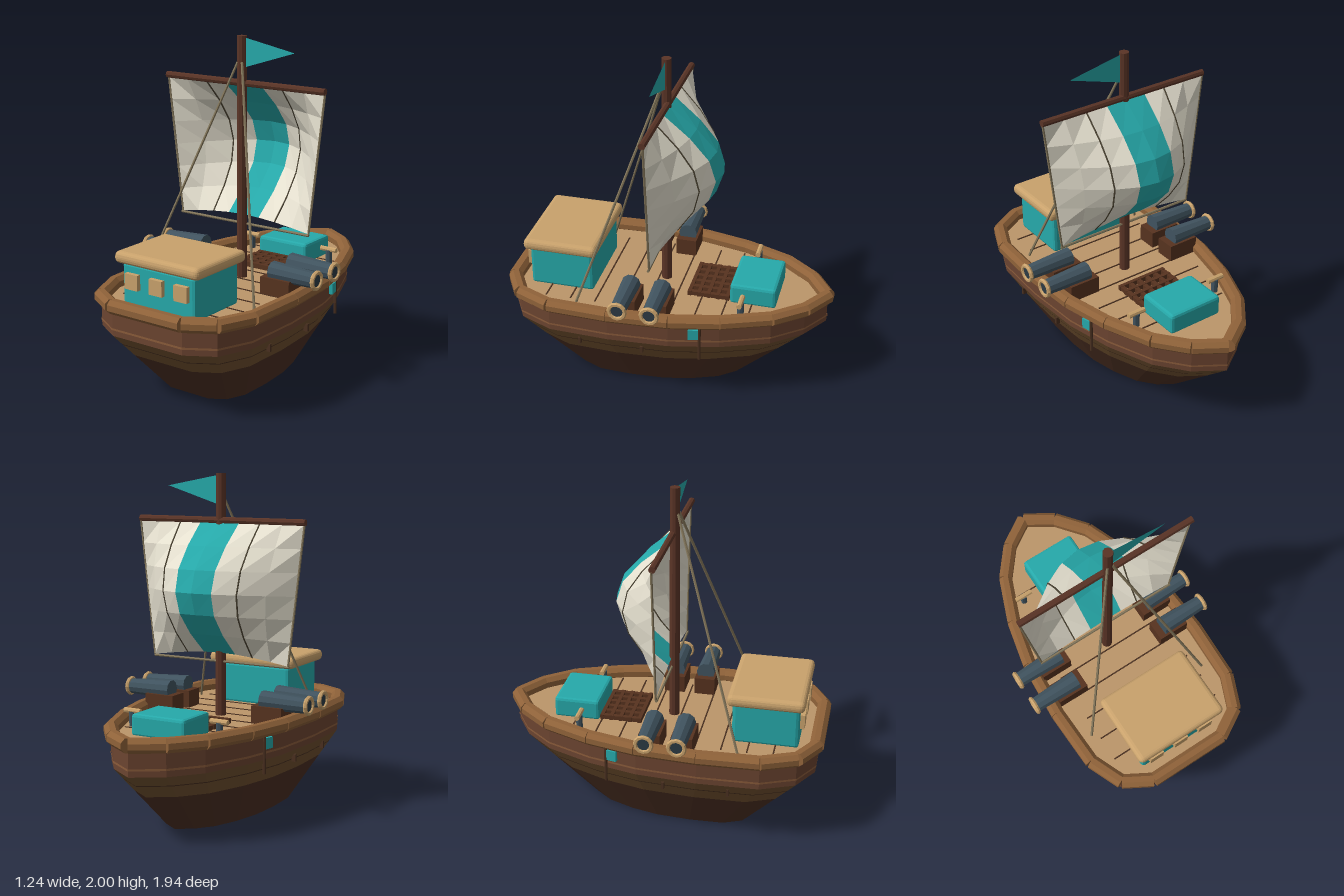
import * as THREE from 'three';
import { RoundedBoxGeometry } from 'three/addons/geometries/RoundedBoxGeometry.js';

const V = (x, y, z) => new THREE.Vector3(x, y, z);
const mat = (color) => new THREE.MeshStandardMaterial({ color, flatShading: true, side: THREE.DoubleSide });
const M = {
  upper: mat(0x6b4430), strake: mat(0x70502f), lower: mat(0x4b2f22), trim: mat(0x8a5b3a), rail: mat(0x8f6239),
  deck: mat(0xbc966a), seam: mat(0x4a3020), dark: mat(0x57331f), mast: mat(0x5a3426), teal: mat(0x26a9aa),
  tan: mat(0xc9a26c), cream: mat(0xe6e1d0), rope: mat(0x83765a), stitch: mat(0x4c4433), iron: mat(0x40535f), bore: mat(0x2c3a44),
};

// Hull outline: half from bow to stern, then mirrored
const half = [[0, -0.935], [0.17, -0.825], [0.31, -0.65], [0.42, -0.37], [0.485, -0.08],
  [0.508, 0.28], [0.495, 0.64], [0.41, 0.84], [0.245, 0.935]];
const outline = [...half, ...half.slice(1).reverse().map(([x, z]) => [-x, z])];
const ZC = 0.105;
const ring = (y, s) => outline.map(([x, z]) => V(x * s, y, ZC + (z - ZC) * s));
const hullScale = (y) => (y >= 0.41 ? 1 : 0.56 + 0.44 * y / 0.41);

function createParts(group) {
  const add = (name, geo, material, x = 0, y = 0, z = 0, parent = group) => {
    const m = new THREE.Mesh(geo, material);
    m.name = name;
    m.position.set(x, y, z);
    parent.add(m);
    return m;
  };
  const box = (name, w, h, d, material, x, y, z) => add(name, new THREE.BoxGeometry(w, h, d), material, x, y, z);
  // Bar between two points
  const rod = (name, a, b, r, material, sides = 6, r2 = r) => {
    const dir = b.clone().sub(a);
    const m = add(name, new THREE.CylinderGeometry(r2, r, dir.length(), sides), material);
    m.position.copy(a).add(b).multiplyScalar(0.5);
    m.quaternion.setFromUnitVectors(V(0, 1, 0), dir.normalize());
    return m;
  };
  return { add, box, rod };
}

// Flat-sided surface between rows of points
function loft(rows, closed) {
  const pos = [];
  for (let j = 0; j < rows.length - 1; j++) {
    const n = rows[j].length;
    for (let i = 0; i < (closed ? n : n - 1); i++) {
      const k = (i + 1) % n;
      const [a, b, c, d] = [rows[j][i], rows[j][k], rows[j + 1][k], rows[j + 1][i]];
      for (const p of [a, d, c, a, c, b]) pos.push(p.x, p.y, p.z);
    }
  }
  const g = new THREE.BufferGeometry();
  g.setAttribute('position', new THREE.Float32BufferAttribute(pos, 3));
  g.computeVertexNormals();
  return g;
}

export function createModel() {
  const group = new THREE.Group();
  group.name = 'sailingShip';
  const { add, box, rod } = createParts(group);

  // Hull bands
  const band = (name, y0, y1, material, grow = 1) =>
    add(name, loft([ring(y0, hullScale(y0) * grow), ring(y1, hullScale(y1) * grow)], true), material);
  band('lowerHull', 0, 0.26, M.lower);
  band('lowerStrake', 0.26, 0.34, M.strake);
  band('strakeSeam', 0.34, 0.347, M.seam);
  band('middleStrake', 0.347, 0.41, M.strake);
  band('upperHull', 0.41, 0.57, M.upper);
  band('hullTrim', 0.445, 0.457, M.trim, 1.005);

  // Bottom and deck
  const flat = (s, sign) => new THREE.ShapeGeometry(new THREE.Shape(
    ring(0, s).map((p) => new THREE.Vector2(p.x, sign * p.z)))).rotateX(sign * Math.PI / 2);
  add('hullBottom', flat(0.56, 1), M.lower);
  add('deck', flat(0.99, -1), M.deck, 0, 0.565, 0);
  for (let i = 0; i < 9; i++) {
    const z = -0.51 + i * 0.151;
    box('plankSeam', z < -0.45 ? 0.62 : 0.74, 0.006, 0.008, M.seam, 0, 0.566, z);
  }

  // Rail of straight eight-sided bars
  const railPath = ring(0.585, 1);
  railPath.forEach((p, i) => {
    const q = railPath[(i + 1) % railPath.length];
    const bar = rod('railSegment', p, q, 0.044, M.rail, 8);
    bar.quaternion.setFromRotationMatrix(new THREE.Matrix4().lookAt(q, p, V(0, 1, 0)))
      .multiply(new THREE.Quaternion().setFromEuler(new THREE.Euler(Math.PI / 2, 0, 0)))
      .multiply(new THREE.Quaternion().setFromAxisAngle(V(0, 1, 0), Math.PI / 8));
  });

  // Cabin with roof and stern windows
  add('cabin', new RoundedBoxGeometry(0.51, 0.26, 0.39, 1, 0.02), M.teal, 0, 0.685, 0.635);
  add('cabinRoof', new RoundedBoxGeometry(0.59, 0.07, 0.45, 2, 0.03), M.tan, 0, 0.84, 0.635);
  for (const x of [-0.172, 0, 0.172]) box('cabinWindow', 0.09, 0.09, 0.03, M.tan, x, 0.715, 0.842);

  // Bow hatch and grating
  add('bowHatch', new RoundedBoxGeometry(0.35, 0.13, 0.275, 1, 0.018), M.teal, 0, 0.62, -0.513);
  for (let i = 0; i < 6; i++) box('gratingBar', 0.026, 0.025, 0.25, M.dark, -0.15 + i * 0.06, 0.58, -0.245);
  for (let i = 0; i < 5; i++) box('gratingCrossbar', 0.33, 0.03, 0.022, M.dark, 0, 0.58, -0.36 + i * 0.0575);

  // Mast, yard and foot rope
  rod('mast', V(0, 0.55, 0.05), V(0, 2, 0.05), 0.032, M.mast, 10, 0.029);
  rod('yard', V(-0.555, 1.728, 0.04), V(0.555, 1.728, 0.04), 0.02, M.mast, 8);
  rod('sailFoot', V(-0.46, 0.893, 0.04), V(0.46, 0.893, 0.04), 0.008, M.rope);

  // Billowing sail, eight columns by six rows
  const xs = [-1, -0.745, -0.485, -0.235, 0, 0.235, 0.485, 0.745, 1];
  const sailPoint = (u, t) => {
    const c = Math.cos(u * Math.PI / 2);
    return V(u * (0.55 - 0.095 * t), 1.715 - t * (0.815 - 0.045 * c), 0.035 - 0.325 * c * Math.sin(t * Math.PI));
  };
  const rows = [0, 1, 2, 3, 4, 5, 6].map((j) => xs.map((u) => sailPoint(u, j / 6)));
  const panel = (name, a, b, material) => add(name, loft(rows.map((r) => r.slice(a, b + 1)), false), material);
  panel('sailRight', 0, 3, M.cream);
  panel('sailStripe', 3, 5, M.teal);
  panel('sailLeft', 5, 8, M.cream);
  for (const i of [0, 2, 6, 8]) {
    for (let j = 0; j < 6; j++) {
      rod(i % 8 ? 'sailSeam' : 'sailEdgeRope', rows[j][i], rows[j + 1][i], i % 8 ? 0.005 : 0.007, i % 8 ? M.stitch : M.rope, 5);
    }
  }

  // Pennant
  const tri = new THREE.Shape([[0.02, 1.99], [0.02, 1.82], [0.36, 1.926]].map((p) => new THREE.Vector2(...p)));
  add('pennant', new THREE.ShapeGeometry(tri), M.teal, 0, 0, 0.05);

  // Parts repeated on both sides
  for (const s of [-1, 1]) {
    rod('stay', V(s * 0.015, 1.85, 0.07), V(s * 0.405, 0.57, 0.5), 0.008, M.rope);

    // Cannons on carriages
    for (const z of [-0.003, 0.185]) {
      box('cannonCarriage', 0.195, 0.11, 0.125, M.dark, s * 0.367, 0.615, z);
      rod('cannonBarrel', V(s * 0.312, 0.697, z), V(s * 0.605, 0.693, z), 0.057, M.iron, 10, 0.046);
      const muzzle = add('cannonMuzzle', new THREE.TorusGeometry(0.047, 0.013, 6, 12), M.tan, s * 0.608, 0.693, z);
      muzzle.rotation.y = Math.PI / 2;
      rod('cannonBore', V(s * 0.6, 0.693, z), V(s * 0.61, 0.693, z), 0.037, M.bore, 10);
    }

    // Mooring cleats
    rod('cleatPost', V(s * 0.288, 0.56, -0.465), V(s * 0.288, 0.65, -0.465), 0.02, M.iron, 8);
    rod('cleatBar', V(s * 0.232, 0.655, -0.465), V(s * 0.342, 0.655, -0.465), 0.016, M.tan, 8);

    // Hull pegs, side rod and side patch
    for (const [z, x] of [[0.46, 0.478], [0.08, 0.478]]) box('hullPeg', 0.025, 0.045, 0.016, M.seam, s * x, 0.355, z);
    rod('sideRod', V(s * 0.462, 0.335, -0.262), V(s * 0.462, 0.55, -0.262), 0.009, M.seam);
    box('sidePatch', 0.025, 0.065, 0.06, M.teal, s * 0.463, 0.508, -0.225).rotation.y = s * 0.22;
  }
  return group;
}
